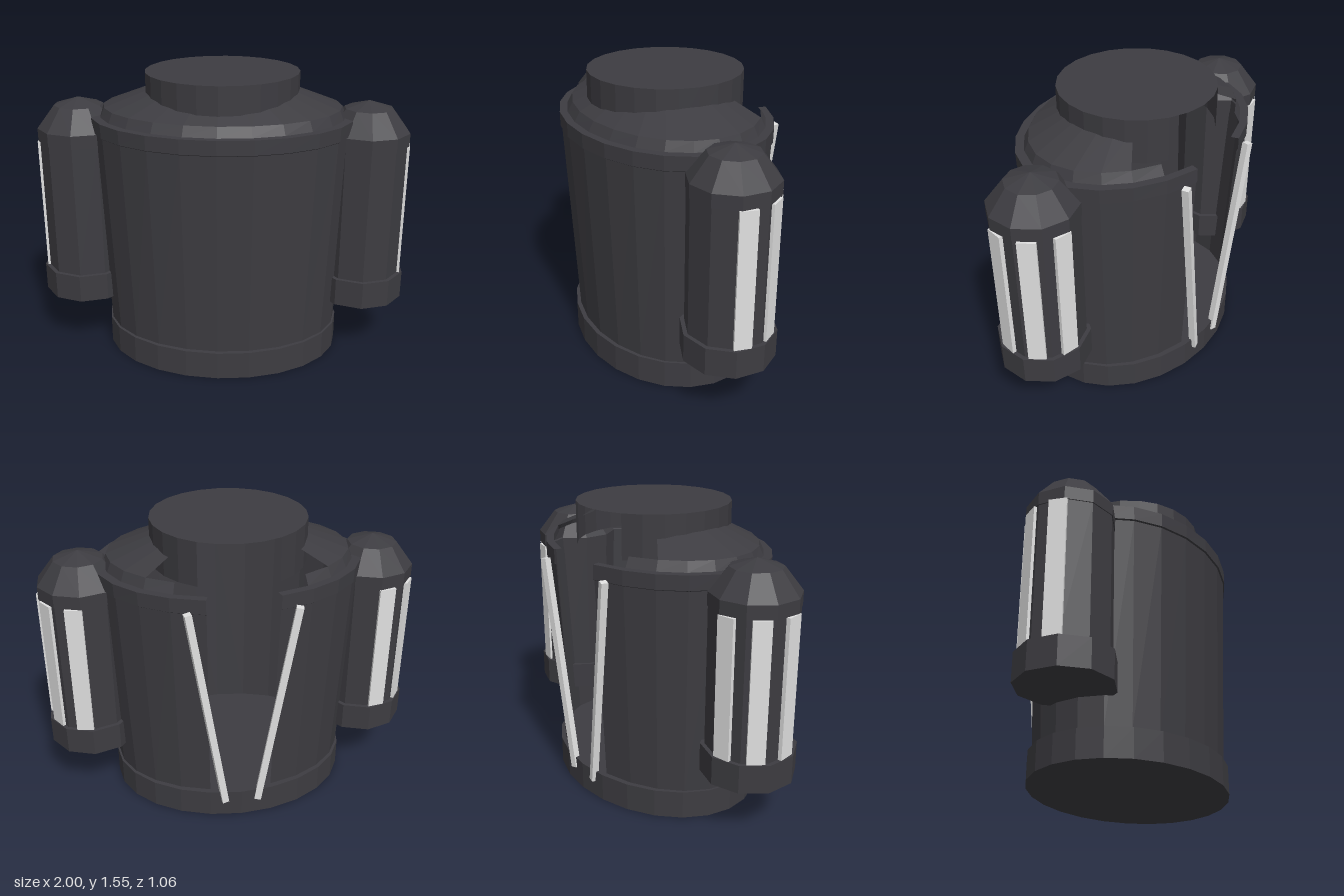
import * as THREE from 'three';
import { mergeGeometries } from 'three/addons/utils/BufferGeometryUtils.js';

const SEG = 24;
const STEP = (Math.PI * 2) / SEG;

// Oval shell through rings [rx, rz, y] from bottom to top, open at the back by `cut` segments each side
function ovalShell(rings, cut) {
  const bands = [];
  for (let i = 0; i < rings.length - 1; i++) {
    const a = rings[i], b = rings[i + 1];
    const g = new THREE.CylinderGeometry(1, 1, 1, SEG - 2 * cut, 1, true,
      Math.PI + cut * STEP, (SEG - 2 * cut) * STEP);
    const p = g.attributes.position;
    for (let v = 0; v < p.count; v++) {
      const r = p.getY(v) > 0 ? b : a;
      p.setXYZ(v, p.getX(v) * r[0], r[2], p.getZ(v) * r[1]);
    }
    bands.push(g);
  }
  const merged = mergeGeometries(bands);
  merged.computeVertexNormals();
  return merged;
}

export function createModel() {
  const dark = new THREE.MeshStandardMaterial({
    color: 0x3d3c41, flatShading: true, side: THREE.DoubleSide });
  dark.name = 'darkCharcoal';
  const light = new THREE.MeshStandardMaterial({ color: 0xe0e0e0, flatShading: true });
  light.name = 'lightGrey';

  const model = new THREE.Group();
  model.name = 'twinTankPack';
  const add = (parent, name, geo, mat) => {
    const m = new THREE.Mesh(geo, mat);
    m.name = name;
    parent.add(m);
    return m;
  };

  // Solid oval foot
  const base = new THREE.CylinderGeometry(1, 1, 0.15, SEG);
  base.scale(0.65, 1, 0.497);
  base.translate(0, 0.075, -0.003);
  add(model, 'base', base, dark);

  // Flared wall, rim and stepped shoulder, each open at the back
  add(model, 'bodyWall', ovalShell([[0.64, 0.47, 0.15], [0.688, 0.522, 1.24]], 1), dark);
  add(model, 'rim', ovalShell([[0.688, 0.522, 1.24], [0.695, 0.53, 1.245],
    [0.698, 0.53, 1.32], [0.65, 0.49, 1.32]], 1), dark);
  add(model, 'lowerShoulder', ovalShell([[0.65, 0.49, 1.32], [0.63, 0.46, 1.37]], 2), dark);
  add(model, 'upperShoulder', ovalShell([[0.63, 0.46, 1.37], [0.39, 0.285, 1.46]], 3), dark);

  // Round neck with a closed lid
  const neck = add(model, 'neck', ovalShell([[0.405, 0.405, 1.32], [0.405, 0.405, 1.55]], 2), dark);
  const lidGeo = new THREE.CircleGeometry(0.405, SEG);
  lidGeo.rotateX(-Math.PI / 2);
  lidGeo.translate(0, 1.55, 0);
  const lid = add(model, 'neckLid', lidGeo, dark);
  neck.position.z = lid.position.z = -0.008;

  for (const s of [1, -1]) {
    const side = s > 0 ? 'left' : 'right';

    // Ten-sided tank with a wider foot and a domed cap
    const tank = new THREE.Group();
    tank.name = side + 'Tank';
    tank.position.set(s * 0.77, 0, -0.005);
    model.add(tank);
    const foot = new THREE.CylinderGeometry(0.242, 0.242, 0.15, 10);
    foot.translate(0, 0.375, 0);
    add(tank, side + 'TankFoot', foot, dark);
    const barrel = new THREE.CylinderGeometry(0.22, 0.22, 0.72, 10, 1, true);
    barrel.translate(0, 0.81, 0);
    add(tank, side + 'TankBarrel', barrel, dark);
    const profile = [[0.22, 1.17], [0.224, 1.171], [0.224, 1.24], [0.13, 1.36], [0, 1.4]];
    const cap = new THREE.LatheGeometry(profile.map(p => new THREE.Vector2(...p)), 10);
    add(tank, side + 'TankCap', cap, dark);

    // Pale stripes on the outer and rear faces of the tank
    for (const deg of [10, -35, -80]) {
      const a = THREE.MathUtils.degToRad(deg);
      const stripe = add(tank, side + 'TankStripe',
        new THREE.BoxGeometry(0.03, 0.72, 0.09), light);
      stripe.position.set(s * Math.cos(a) * 0.21, 0.81, Math.sin(a) * 0.21);
      stripe.rotation.y = -s * a;
    }

    // Slanted rail beside the back opening
    const top = new THREE.Vector3(s * 0.27, 1.255, -0.513);
    const low = new THREE.Vector3(s * 0.09, 0.09, -0.487);
    const dir = top.clone().sub(low);
    const rail = add(model, side + 'BackRail',
      new THREE.BoxGeometry(0.036, dir.length(), 0.036), light);
    rail.position.copy(top).add(low).multiplyScalar(0.5);
    rail.quaternion.setFromUnitVectors(new THREE.Vector3(0, 1, 0), dir.normalize());
    rail.rotateY(s * 0.2);
  }
  return model;
}
